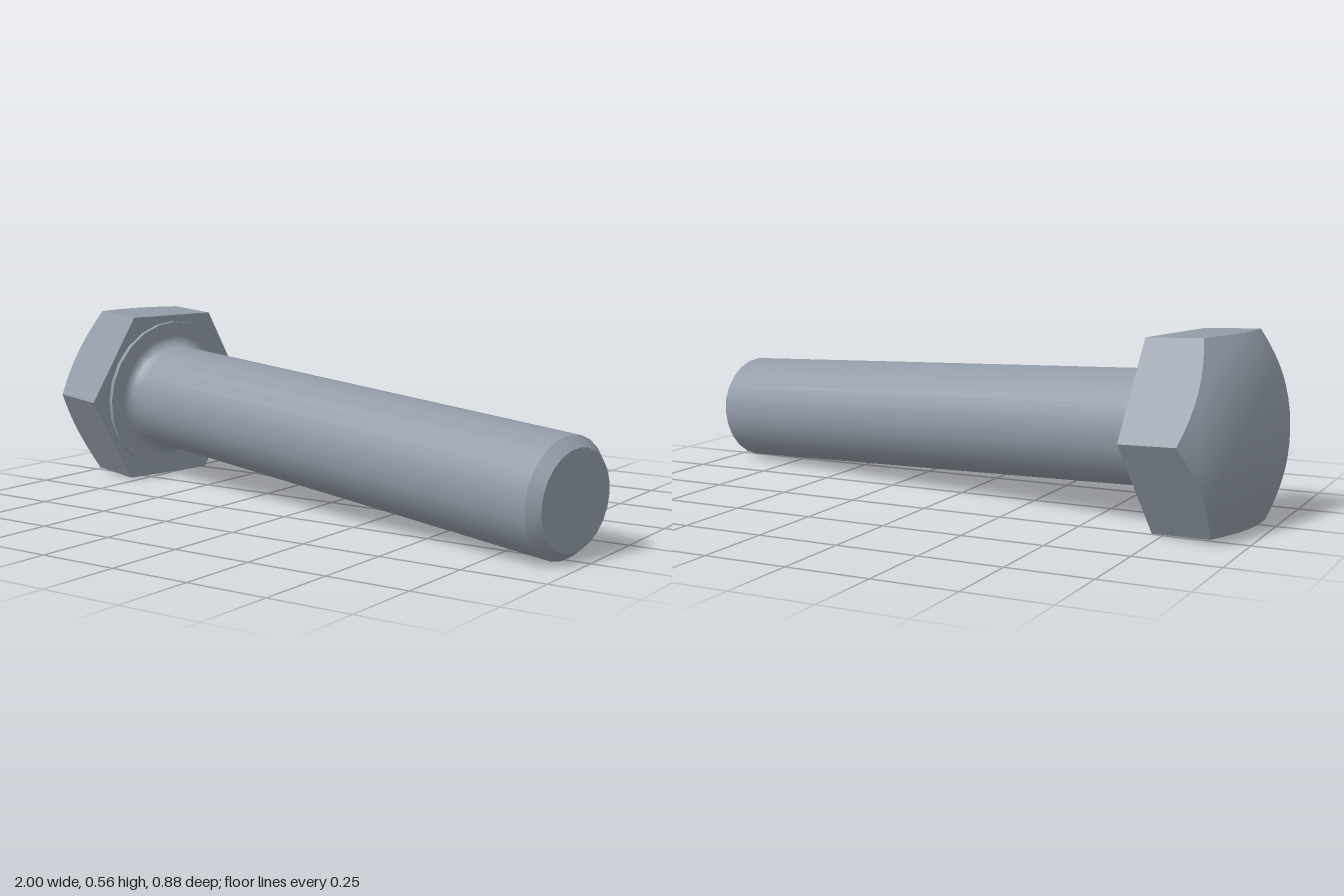
import * as THREE from 'three';

const R = 0.316;                          // hex corner radius
const INNER = R * Math.cos(Math.PI / 6);  // centre to flat
const CROWN_R = 0.26, CROWN_H = 0.216;    // flat circle on the head
const SLOPE = Math.tan(Math.PI / 6);      // chamfer slope
const STEPS = 8;                          // subdivisions per hex side

function meshFrom(name, positions, normals, material) {
  const g = new THREE.BufferGeometry();
  g.setAttribute('position', new THREE.Float32BufferAttribute(positions, 3));
  if (normals) g.setAttribute('normal', new THREE.Float32BufferAttribute(normals, 3));
  else g.computeVertexNormals();
  const m = new THREE.Mesh(g, material);
  m.name = name;
  return m;
}

function lathe(name, profile, material) {
  const points = profile.map(([r, y]) => new THREE.Vector2(r, y));
  const m = new THREE.Mesh(new THREE.LatheGeometry(points, 24), material);
  m.name = name;
  return m;
}

function buildHead(material) {
  const head = new THREE.Group();
  head.name = 'hexHead';
  const at = (r, a, y) => [r * Math.cos(a), y, r * Math.sin(a)];
  const sides = [], crown = [], crownNormals = [];
  const centre = { p: [0, -CROWN_H, 0], n: [0, -1, 0] };
  const addCrown = (...verts) => verts.forEach(v => {
    crown.push(...v.p);
    crownNormals.push(...v.n);
  });

  // One column of the head: bearing edge, conical chamfer rim, crown circle
  const column = a => {
    const rim = INNER / Math.cos((a % (Math.PI / 3)) - Math.PI / 6);
    const n = at(0.5, a, -Math.cos(Math.PI / 6));
    return {
      base: at(rim, a, 0),
      rim: { p: at(rim, a, -(CROWN_H - (rim - CROWN_R) * SLOPE)), n },
      ring: { p: at(CROWN_R, a, -CROWN_H), n },
    };
  };

  const count = 6 * STEPS;
  for (let i = 0; i < count; i++) {
    const a = column(i / count * Math.PI * 2);
    const b = column((i + 1) / count * Math.PI * 2);
    sides.push(...a.base, ...b.base, ...b.rim.p, ...a.base, ...b.rim.p, ...a.rim.p);
    addCrown(centre, a.ring, b.ring);
    addCrown(a.ring, a.rim, b.rim, a.ring, b.rim, b.ring);
  }
  head.add(meshFrom('headSides', sides, null, material));
  head.add(meshFrom('headCrown', crown, crownNormals, material));

  // Flat underside of the hexagon
  const under = new THREE.Mesh(new THREE.CircleGeometry(R, 6).rotateX(-Math.PI / 2), material);
  under.name = 'headUnderside';
  head.add(under);
  return head;
}

export function createModel() {
  const steel = new THREE.MeshStandardMaterial({ color: 0x929ba7 });
  steel.name = 'steel';

  // Bolt built along local +y, from the head's underside to the tip
  const bolt = new THREE.Group();
  bolt.name = 'bolt';
  bolt.add(buildHead(steel));
  bolt.add(lathe('washerRim', [[0.253, 0], [0.253, 0.015]], steel));
  bolt.add(lathe('shank', [
    [0.253, 0.015], [0.205, 0.015], [0.191, 0.019], [0.178, 0.031],
    [0.172, 0.05], [0.171, 0.07], [0.171, 1.712],
  ], steel));
  bolt.add(lathe('tipChamfer', [[0.171, 1.712], [0.143, 1.745]], steel));
  bolt.add(lathe('tipFace', [[0.143, 1.745], [0, 1.745]], steel));

  // Lay the bolt down, resting on the head's lower flat and the tip
  const axis = new THREE.Vector3(0.9756, -0.061, 0.2107).normalize();
  const corner = new THREE.Vector3(axis.z, 0, -axis.x).normalize();
  const flat = new THREE.Vector3().crossVectors(corner, axis);
  bolt.quaternion.setFromRotationMatrix(new THREE.Matrix4().makeBasis(corner, axis, flat));
  bolt.position.set(-0.735, 0.278, -0.091);

  const model = new THREE.Group();
  model.name = 'hexBolt';
  model.add(bolt);
  return model;
}
